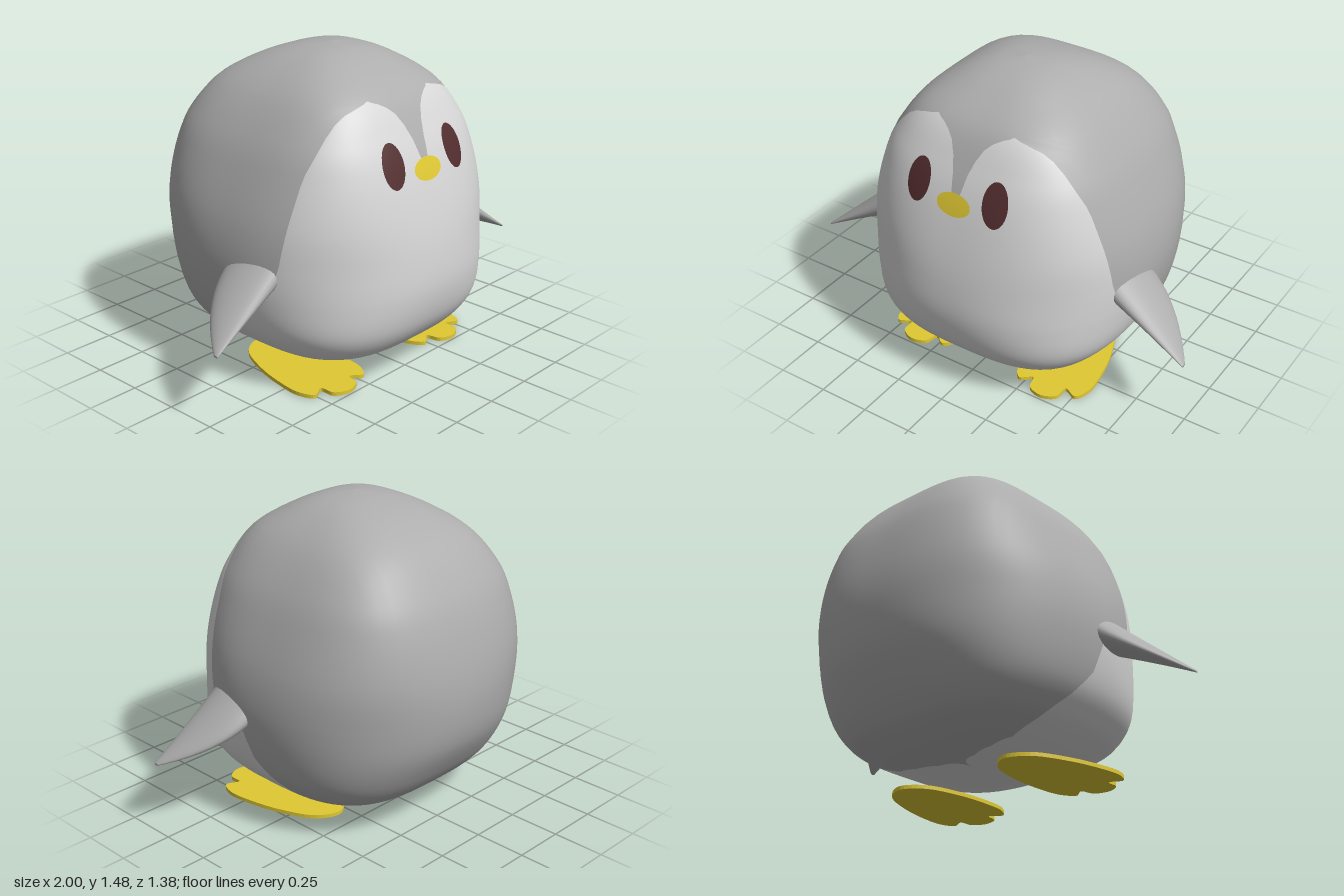
import * as THREE from 'three';
import { mergeVertices } from 'three/addons/utils/BufferGeometryUtils.js';

const mat = (name, color, side = THREE.FrontSide) => {
  const m = new THREE.MeshStandardMaterial({ color, side });
  m.name = name;
  return m;
};

// Body cross-sections: height, half width, front z, back z, squareness
const ROWS = [
  [0.075, 0, 0.04, 0.04, 2.3], [0.078, 0.2, 0.22, -0.14, 2.5], [0.1, 0.36, 0.38, -0.3, 2.9],
  [0.15, 0.49, 0.52, -0.43, 3.1], [0.2, 0.56, 0.59, -0.5, 3], [0.3, 0.635, 0.655, -0.58, 2.7],
  [0.45, 0.68, 0.69, -0.66, 2.4], [0.62, 0.695, 0.685, -0.69, 2.35], [0.8, 0.67, 0.655, -0.68, 2.6],
  [1.0, 0.6, 0.6, -0.63, 3], [1.15, 0.525, 0.535, -0.56, 3.4], [1.3, 0.41, 0.44, -0.44, 3.6],
  [1.4, 0.28, 0.3, -0.28, 3], [1.455, 0.15, 0.17, -0.11, 2.6], [1.475, 0, 0.04, 0.04, 2.3],
];
// Edge of the pale front as angles from the front: height, inner angle, outer angle
const EDGE = [
  [0.075, 0, Math.PI], [0.078, 0, 2.6], [0.085, 0, 2.3], [0.1, 0, 2.08], [0.15, 0, 1.94], [0.25, 0, 1.74],
  [0.36, 0, 1.57], [0.5, 0, 1.48], [0.59, 0, 1.13], [0.65, 0, 1.097], [0.84, 0, 1.035],
  [1.0, 0, 0.98], [1.05, 0.04, 0.955], [1.13, 0.07, 0.89], [1.19, 0.115, 0.84], [1.24, 0.18, 0.78],
  [1.27, 0.26, 0.71], [1.29, 0.35, 0.6], [1.3, 0.42, 0.52], [1.304, 0.466, 0.466],
];

// Smooth section at row parameter t
function sectionAt(t) {
  const last = ROWS.length - 1;
  const i = Math.min(Math.floor(t), last - 1), f = t - i;
  const p = [i - 1, i, i + 1, i + 2].map((k) => ROWS[THREE.MathUtils.clamp(k, 0, last)]);
  const [y, w, zf, zb, n] = ROWS[0].map((_, k) => {
    const [a, b, c, d] = p.map((r) => r[k]);
    return b + 0.5 * f * (c - a + f * (2 * a - 5 * b + 4 * c - d + f * (3 * (b - c) + d - a)));
  });
  return { y, w, n, zc: (zf + zb) / 2, d: (zf - zb) / 2 };
}

// Depth of the body's front at a point (x, y)
function frontZ(x, y) {
  let lo = 1, hi = ROWS.length - 2;
  for (let k = 0; k < 30; k++) {
    const m = (lo + hi) / 2;
    if (sectionAt(m).y < y) lo = m; else hi = m;
  }
  const s = sectionAt(lo);
  return s.zc + s.d * (1 - Math.abs(x / s.w) ** s.n) ** (1 / s.n);
}

function edgeAt(y) {
  const k = EDGE.findIndex((e) => e[0] > y);
  if (k < 0) return [0.466, 0.466];
  if (k === 0) return [0, Math.PI];
  const [a, b] = [EDGE[k - 1], EDGE[k]], f = (y - a[0]) / (b[0] - a[0]);
  return [1, 2].map((j) => THREE.MathUtils.lerp(a[j], b[j], f));
}

// One smooth skin whose columns follow the colour edge; group 0 is the coat, 1 the pale front
function bodyGeometry() {
  const SUB = 14, A = 6, B = 22, C = 22, half = A + B + C, cols = 2 * half + 1;
  const rows = (ROWS.length - 1) * SUB;
  const pos = [], lists = [[], []];
  for (let r = 0; r <= rows; r++) {
    const s = sectionAt(r / SUB);
    const [a0, a1] = edgeAt(s.y);
    for (let c = -half; c <= half; c++) {
      const k = Math.abs(c);
      const phi = Math.sign(c) * (k <= A ? a0 * k / A
        : k <= A + B ? a0 + (a1 - a0) * (k - A) / B
        : a1 + (Math.PI - a1) * (k - A - B) / C);
      const sn = Math.sin(phi), cs = Math.cos(phi);
      const q = (Math.abs(sn) ** s.n + Math.abs(cs) ** s.n) ** (-1 / s.n);
      pos.push(s.w * q * sn, s.y, s.zc + s.d * q * cs);
      if (r === rows || c === half) continue;
      const mid = Math.abs(c + 0.5);
      const i = r * cols + c + half, j = i + cols;
      lists[mid > A && mid < A + B ? 1 : 0].push(i, i + 1, j, i + 1, j + 1, j);
    }
  }
  const g = new THREE.BufferGeometry();
  g.setAttribute('position', new THREE.Float32BufferAttribute(pos, 3));
  g.setIndex([...lists[0], ...lists[1]]);
  g.addGroup(0, lists[0].length, 0);
  g.addGroup(lists[0].length, lists[1].length, 1);
  const merged = mergeVertices(g, 1e-5);
  merged.computeVertexNormals();
  return merged;
}

// Thin oval lying on the front of the body
function ovalGeometry(cx, cy, rx, ry, tilt) {
  const g = new THREE.RingGeometry(0.001, 1, 40, 6);
  g.scale(rx, ry, 1).rotateZ(tilt).translate(cx, cy, 0);
  const p = g.attributes.position;
  for (let i = 0; i < p.count; i++) p.setZ(i, frontZ(p.getX(i), p.getY(i)) + 0.005);
  g.computeVertexNormals();
  return g;
}

// Flipper lofted from oval sections: straight front edge, curved rear edge
function flipperGeometry(side) {
  const N = 20, M = 28, pos = [], idx = [];
  for (let r = 0; r <= N + 1; r++) {
    const s = Math.min(r / N, 1), cap = r > N ? 0 : 1;
    const x = 0.64 + 0.36 * s;
    const width = (0.27 * (1 - s * s) + 0.025) * cap;
    const height = (0.16 * (1 - s) + 0.012) * cap;
    const zMid = 0.315 - (0.27 * (1 - s * s) + 0.025) / 2;
    const yMid = 0.585 - 0.23 * s;
    for (let c = 0; c < M; c++) {
      const a = (c / M) * Math.PI * 2;
      pos.push(side * x, yMid + Math.sin(a) * height / 2, zMid + Math.cos(a) * width / 2);
      if (r > N) continue;
      const i = r * M + c, n = r * M + (c + 1) % M;
      if (side > 0) idx.push(i, i + M, n, n, i + M, n + M);
      else idx.push(i, n, i + M, n, n + M, i + M);
    }
  }
  const g = new THREE.BufferGeometry();
  g.setAttribute('position', new THREE.Float32BufferAttribute(pos, 3));
  g.setIndex(idx);
  g.computeVertexNormals();
  return g;
}

// Flat webbed foot with three rounded toes
function footGeometry() {
  const right = [[0.1, -0.27], [0.165, -0.1], [0.19, 0.08], [0.185, 0.2], [0.145, 0.265], [0.085, 0.235], [0.07, 0.3]];
  const left = right.map(([x, z]) => [-x, z]).reverse();
  const pts = [[0, -0.33], ...right, [0, 0.33], ...left].map(([x, z]) => new THREE.Vector3(x, -z, 0));
  const outline = new THREE.CatmullRomCurve3(pts, true).getPoints(96).slice(0, -1);
  const shape = new THREE.Shape(outline.map((p) => new THREE.Vector2(p.x, p.y)));
  return new THREE.ExtrudeGeometry(shape, { depth: 0.018, bevelEnabled: false }).rotateX(-Math.PI / 2);
}

export function createModel() {
  const coat = mat('grey coat', 0xadadad, THREE.DoubleSide);
  const pale = mat('pale front', 0xd6d6d6);
  const yellow = mat('yellow', 0xdfc833);
  const dark = mat('dark brown', 0x522d2e);

  const model = new THREE.Group();
  model.name = 'penguin';
  const add = (name, geometry, material) => {
    const mesh = new THREE.Mesh(geometry, material);
    mesh.name = name;
    model.add(mesh);
    return mesh;
  };

  add('body', bodyGeometry(), [coat, pale]);
  add('beak', ovalGeometry(0, 1.0, 0.087, 0.05, 0), yellow);

  for (const [label, side] of [['left', 1], ['right', -1]]) {
    add(label + 'Eye', ovalGeometry(side * 0.2, 1.05, 0.061, 0.097, side * 0.1), dark);
    add(label + 'Flipper', flipperGeometry(side), coat);
    const foot = add(label + 'Foot', footGeometry(), yellow);
    foot.position.set(side * 0.343, 0, 0.162);
    foot.rotation.y = side * 0.1;
  }
  return model;
}
